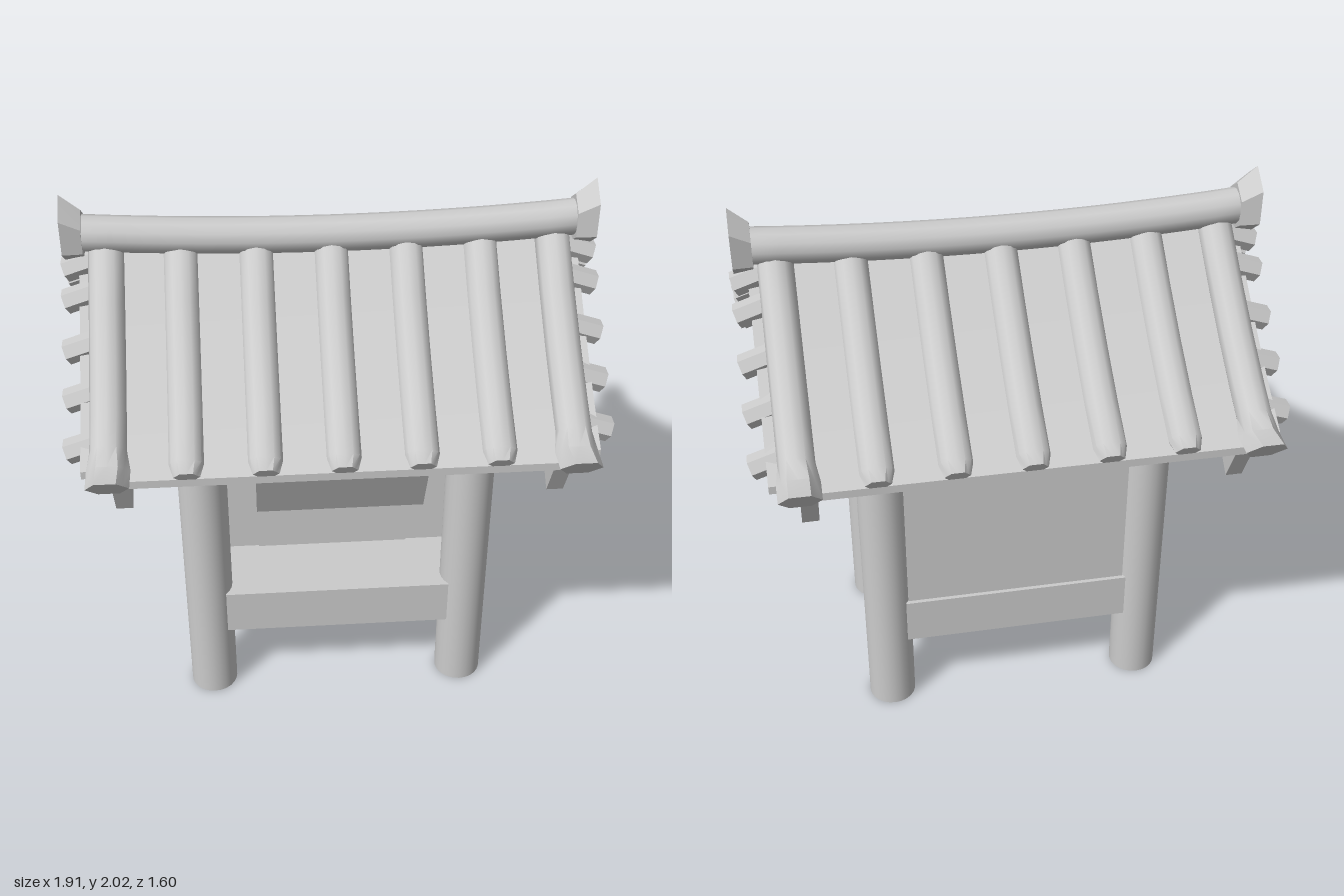
import * as THREE from 'three';
import { toCreasedNormals } from 'three/addons/utils/BufferGeometryUtils.js';

const mat = new THREE.MeshStandardMaterial({ color: 0xcccccc, side: THREE.DoubleSide });
const V = (x, y, z) => new THREE.Vector3(x, y, z);

// height of the concave roof at a distance z from the ridge
const roofY = (z) => 1.79 - 0.9 * Math.abs(z) + 0.245 * z * z;

// Loft of 12-sided rings: { p, w, h, hex, lift, rot }, hex = 1 gives a six-sided ring
function loft(rings, side) {
  const N = 12, pos = [], idx = [];
  rings.forEach((r, i) => {
    const a = rings[Math.max(i - 1, 0)].p, b = rings[Math.min(i + 1, rings.length - 1)].p;
    const t = b.clone().sub(a).normalize();
    const up = side.clone().cross(t).normalize();
    if (up.y < 0) up.negate();
    for (let k = 0; k < N; k++) {
      const ang = k / N * Math.PI * 2;
      const corner = (k + (r.rot || 0)) % 2 === 0;
      const f = corner ? 1 : 1 - (1 - Math.cos(Math.PI / 6)) * (r.hex || 0);
      const v = r.p.clone().addScaledVector(side, Math.cos(ang) * r.w * f)
        .addScaledVector(up, Math.sin(ang) * r.h * f + (r.lift || 0));
      pos.push(v.x, v.y, v.z);
    }
  });
  const last = (rings.length - 1) * N;
  // winding follows the direction of the path relative to the side axis
  const d = rings[rings.length - 1].p.clone().sub(rings[0].p);
  const flip = side.clone().cross(d).y > 0;
  const tri = (a, b, c) => flip ? idx.push(a, b, c) : idx.push(a, c, b);
  for (let i = 0; i < last; i += N) {
    for (let k = 0; k < N; k++) {
      const a = i + k, b = i + (k + 1) % N;
      tri(a, b, b + N);
      tri(a, b + N, a + N);
    }
  }
  for (let k = 1; k < N - 1; k++) {
    tri(0, k + 1, k);
    tri(last, last + k, last + k + 1);
  }
  const g = new THREE.BufferGeometry();
  g.setAttribute('position', new THREE.Float32BufferAttribute(pos, 3));
  g.setIndex(idx);
  return toCreasedNormals(g, 0.62);
}

// Outline in (z, y), extruded along x from x0 to x1
function slabX(points, x0, x1) {
  const s = new THREE.Shape(points.map(([z, y]) => new THREE.Vector2(-z, y)));
  const g = new THREE.ExtrudeGeometry(s, { depth: x1 - x0, bevelEnabled: false });
  return toCreasedNormals(g.rotateY(Math.PI / 2).translate(x0, 0, 0), 0.4);
}

// Curved roof layer of the given thickness, lowered by drop
function roofLayer(x0, x1, zMax, drop, thick) {
  const top = [];
  for (let i = -8; i <= 8; i++) top.push([i / 8 * zMax, roofY(i / 8 * zMax) - drop]);
  return slabX([...top, ...top.map(([z, y]) => [z, y - thick]).reverse()], x0, x1);
}

export function createModel() {
  const model = new THREE.Group();
  const add = (name, geo, x = 0, y = 0, z = 0) => {
    const m = new THREE.Mesh(geo, mat);
    m.name = name;
    m.position.set(x, y, z);
    model.add(m);
    return m;
  };
  const box = (name, w, h, d, x, y, z) => add(name, new THREE.BoxGeometry(w, h, d), x, y, z);

  // posts
  for (const x of [-0.495, 0.495]) for (const z of [-0.322, 0.322])
    add('post', new THREE.CylinderGeometry(0.09, 0.09, 1.28, 24, 1, true), x, 0.64, z);

  // base boards spanning from post to post
  for (const s of [-1, 1]) {
    box('baseBoard', 0.86, 0.185, 0.05, 0, 0.4025, s * 0.365);
    box('baseSide', 0.05, 0.185, 0.51, s * 0.53, 0.4025, 0);
  }

  // floor with a thicker shelf at the front
  box('floor', 1.02, 0.025, 0.7, 0, 0.4825, 0);
  box('shelf', 0.9, 0.1, 0.24, 0, 0.435, 0.22);

  // walls, open to the front, with a partition and its panel behind the shelf
  box('backWall', 0.84, 0.75, 0.03, 0, 0.87, -0.36);
  for (const s of [-1, 1]) box('sideWall', 0.085, 0.75, 0.48, s * 0.4925, 0.87, 0);
  box('partition', 0.9, 0.75, 0.03, 0, 0.87, 0.09);
  box('panel', 0.59, 0.47, 0.008, 0, 0.728, 0.107);

  // hollow gabled body under the roof: two gables and two beams
  const gable = [[-0.435, 1.095], [0.435, 1.095], [0.435, 1.4], [0, 1.73], [-0.435, 1.4]];
  for (const s of [-1, 1]) {
    add('gable', slabX(gable, s * 0.72 - 0.015, s * 0.72 + 0.015));
    box('beam', 1.44, 0.305, 0.03, 0, 1.2475, s * 0.42);
  }

  // barge boards on both gables
  const zs = [0.64, 0.48, 0.32, 0.16, 0];
  const upper = zs.map((z) => [z, roofY(z) - 0.06]);
  const lower = [[0.3, 1.29], [0.55, 1.075]];
  const mirrored = (list) => list.map(([z, y]) => [-z, y]).reverse();
  const barge = [[0, 1.51], ...lower, ...upper, ...mirrored(upper.slice(0, -1)), ...mirrored(lower)];
  for (const s of [-1, 1]) add('bargeBoard', slabX(barge, s * 0.76 - 0.03, s * 0.76 + 0.03));

  // slanted board under the front eave
  const board = box('frontBoard', 0.6, 0.23, 0.035, 0, 1.097, 0.525);
  board.rotation.x = 0.43;

  // roof and the stepped layers at its gable edges
  add('roof', roofLayer(-0.78, 0.78, 0.68, 0, 0.03));
  for (const s of [-1, 1]) {
    add('roofEdge', roofLayer(s * 0.815 - 0.035, s * 0.815 + 0.035, 0.64, 0.02, 0.03));
    add('roofEdge', roofLayer(s * 0.87 - 0.02, s * 0.87 + 0.02, 0.61, 0.045, 0.03));
  }

  // tile rolls down both slopes
  const X = V(1, 0, 0);
  for (const s of [-1, 1]) {
    const path = (x, z) => V(x, roofY(z) + 0.022, s * z);
    for (const x of [-0.53, -0.265, 0, 0.265, 0.53]) {
      const rings = [0, 0.17, 0.34, 0.51, 0.65].map((z) => ({ p: path(x, z), w: 0.059, h: 0.045 }));
      rings.push({ p: path(x, 0.69), w: 0.045, h: 0.032, hex: 1 });
      add('tileRoll', loft(rings, X));
    }
    // larger rolls along the gables with flared, lifted ends
    for (const x of [-0.79, 0.79]) {
      const rings = [0, 0.17, 0.34, 0.5, 0.6].map((z) => ({ p: path(x, z), w: 0.063, h: 0.055 }));
      rings.push({ p: path(x, 0.66), w: 0.074, h: 0.06, hex: 1 });
      rings.push({ p: V(x, 1.278, s * 0.715), w: 0.073, h: 0.088, hex: 1, lift: 0.055 });
      add('gableRoll', loft(rings, X));
    }
  }

  // ridge roll, sagging in the middle
  const Z = V(0, 0, 1), ridge = [];
  for (let i = -8; i <= 8; i++) {
    const x = i / 8 * 0.88;
    ridge.push({ p: V(x, 1.835 + 0.045 * x * x, 0), w: 0.065, h: 0.065 });
  }
  add('ridge', loft(ridge, Z));

  // flared six-sided ridge ends
  for (const s of [-1, 1]) {
    add('ridgeEnd', loft([
      { p: V(s * 0.865, 1.865, 0), w: 0.076, h: 0.08, hex: 1, rot: 1 },
      { p: V(s * 0.935, 1.865, 0), w: 0.096, h: 0.11, hex: 1, rot: 1, lift: 0.025 }].map((r) =>
      ({ ...r, h: r.h / Math.cos(Math.PI / 6) })), Z));
  }

  // six-sided edge tiles sticking out of the gables
  for (const s of [-1, 1]) {
    for (const [z, y] of [[0, 1.725], [0.085, 1.645], [0.22, 1.52], [0.355, 1.405], [0.5, 1.295]]) {
      for (const m of z ? [-1, 1] : [1]) {
        const tile = add('edgeTile', toCreasedNormals(new THREE.CylinderGeometry(0.045, 0.045, 0.19, 6), 0.5),
          s * 0.85, y + 0.03, m * z);
        tile.rotation.z = -s * (Math.PI / 2 + 0.33);
      }
    }
  }
  return model;
}
